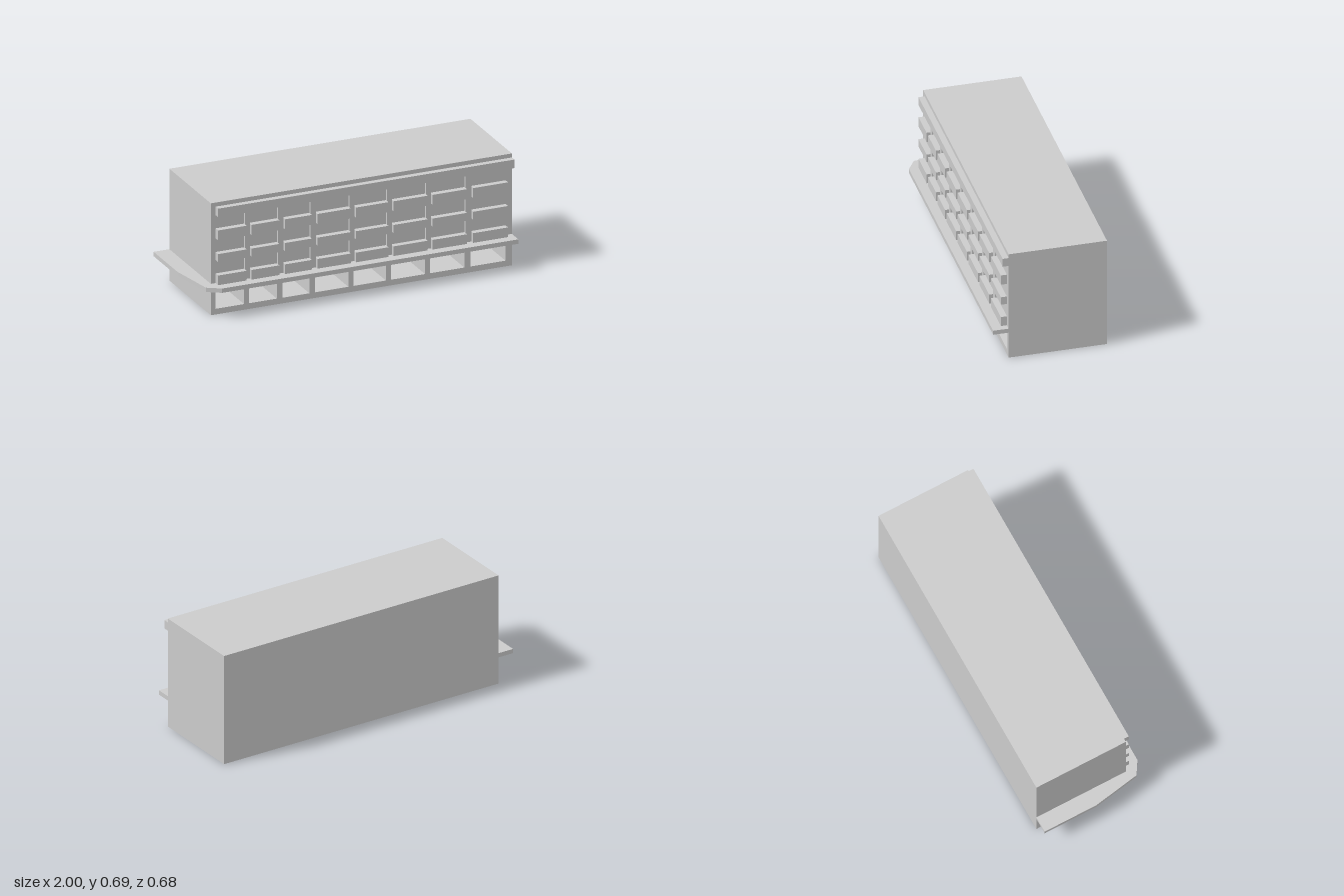
import * as THREE from 'three';

const material = new THREE.MeshStandardMaterial({ color: 0xcccccc, flatShading: true });
const WEST = -0.9, EAST = 1, HEIGHT = 0.695, BACK = -0.34, FRONT = 0.247;
const RECESS = -0.1; // z of the shopfront back walls

// Start and end x of the piers that divide the facade into eight bays
const piers = [
  [-0.69, -0.66], [-0.483, -0.448], [-0.278, -0.243], [-0.032, 0],
  [0.205, 0.237], [0.452, 0.483], [0.7, 0.74],
];
const BAY_START = -0.87, BAY_END = 0.96;
const bays = [];
for (let i = 0; i <= piers.length; i++) {
  bays.push([i ? piers[i - 1][1] : BAY_START, i < piers.length ? piers[i][0] : BAY_END]);
}

function addMesh(parent, name, geometry) {
  const mesh = new THREE.Mesh(geometry, material);
  mesh.name = name;
  parent.add(mesh);
  return mesh;
}

// Box given by its limits on each axis
function addBox(parent, name, [x0, x1], [y0, y1], [z0, z1]) {
  const mesh = addMesh(parent, name, new THREE.BoxGeometry(x1 - x0, y1 - y0, z1 - z0));
  mesh.position.set((x0 + x1) / 2, (y0 + y1) / 2, (z0 + z1) / 2);
}

function polygon(points) {
  return points.map(([x, y]) => new THREE.Vector2(x, y));
}

function rectangle(x0, x1, y0, y1) {
  return polygon([[x0, y0], [x1, y0], [x1, y1], [x0, y1]]);
}

export function createModel() {
  const model = new THREE.Group();
  model.name = 'building';

  // Rear block, and front block pierced by the shopfronts
  addBox(model, 'rearBlock', [WEST, EAST], [0, HEIGHT], [BACK, RECESS]);
  const facade = new THREE.Shape(rectangle(WEST, EAST, 0, HEIGHT));
  for (const [x0, x1] of bays) facade.holes.push(new THREE.Path(rectangle(x0, x1, 0.035, 0.168)));
  addMesh(model, 'frontBlock', new THREE.ExtrudeGeometry(facade, { depth: FRONT - RECESS, bevelEnabled: false }))
    .position.z = RECESS;

  // Canopy wrapping the front and one end, drawn in plan as (x, -z)
  const plan = new THREE.Shape(polygon([
    [-1, 0.34], [-1, 0], [-0.95, -0.29], [-0.87, -0.34],
    [EAST, -0.34], [EAST, -FRONT], [WEST, -FRONT], [WEST, 0.34],
  ]));
  const canopy = addMesh(model, 'canopy', new THREE.ExtrudeGeometry(plan, { depth: 0.027, bevelEnabled: false }));
  canopy.rotation.x = -Math.PI / 2;
  canopy.position.y = 0.168;

  // Slim pilasters between the bays
  const pilasters = new THREE.Group();
  pilasters.name = 'pilasters';
  for (const pier of piers) addBox(pilasters, 'pilaster', pier, [0.195, 0.617], [FRONT, 0.26]);

  // Balconies, one per bay on each floor
  const balconies = new THREE.Group();
  balconies.name = 'balconies';
  for (const level of [[0.195, 0.255], [0.338, 0.388], [0.473, 0.535]]) {
    for (const bay of bays) addBox(balconies, 'balcony', bay, level, [FRONT, 0.283]);
  }
  model.add(pilasters, balconies);

  // Continuous cornice
  addBox(model, 'cornice', [BAY_START, EAST], [0.617, 0.67], [FRONT, 0.283]);
  return model;
}
